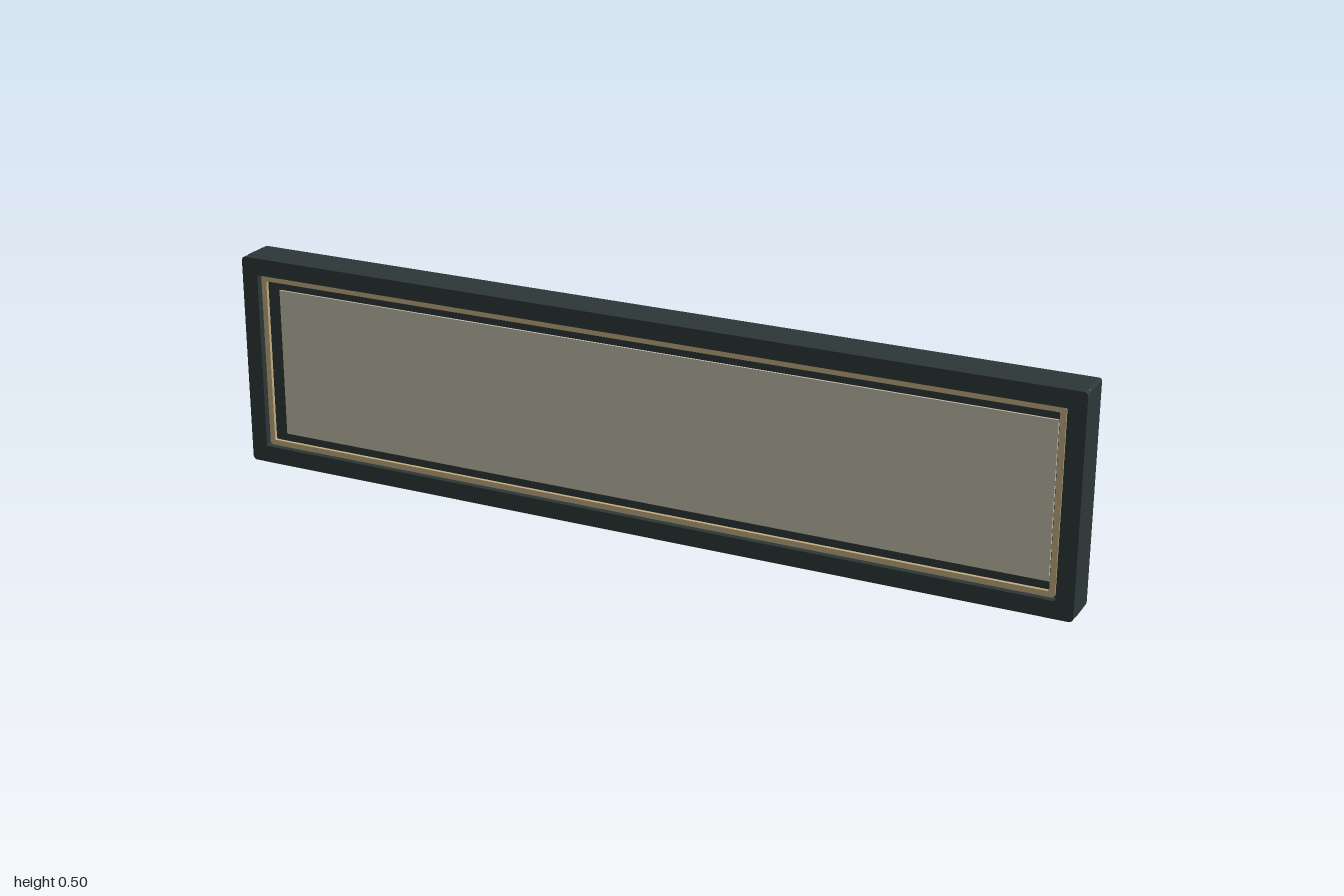
import * as THREE from 'three';
import { RoundedBoxGeometry } from 'three/addons/geometries/RoundedBoxGeometry.js';

// Traces a rounded rectangle centred on (cx, cy)
function roundedRect(path, w, h, r, cx = 0, cy = 0) {
  const x = w / 2 - r, y = h / 2 - r;
  path.absarc(cx + x, cy + y, r, 0, Math.PI / 2);
  path.absarc(cx - x, cy + y, r, Math.PI / 2, Math.PI);
  path.absarc(cx - x, cy - y, r, Math.PI, Math.PI * 1.5);
  path.absarc(cx + x, cy - y, r, Math.PI * 1.5, Math.PI * 2);
  path.closePath();
  return path;
}

function extrude(shape, depth) {
  return new THREE.ExtrudeGeometry(shape, { depth, bevelEnabled: false, curveSegments: 6 });
}

function ring(w, h, r, border, depth) {
  const shape = roundedRect(new THREE.Shape(), w, h, r);
  shape.holes.push(roundedRect(new THREE.Path(), w - 2 * border, h - 2 * border, 0.004));
  return extrude(shape, depth);
}

export function createModel() {
  const dark = new THREE.MeshStandardMaterial({ name: 'dark housing', color: 0x2d3737 });
  const gold = new THREE.MeshStandardMaterial({ name: 'tan seal', color: 0xc2ab80 });
  const pale = new THREE.MeshStandardMaterial({ name: 'pale grey', color: 0xc0bbaa });

  const model = new THREE.Group();
  model.name = 'wallPanel';
  function add(name, geometry, material, x, y, z, parent = model) {
    const mesh = new THREE.Mesh(geometry, material);
    mesh.name = name;
    mesh.position.set(x, y, z);
    parent.add(mesh);
    return mesh;
  }

  // Housing with softened edges, and the raised frame in front of it
  add('housing', new RoundedBoxGeometry(2, 0.5, 0.08, 3, 0.007), dark, 0, 0.25, 0.002);
  add('frontFrame', ring(2, 0.5, 0.01, 0.04, 0.019), dark, 0, 0.25, 0.041);

  // Seal running inside the frame
  add('seal', ring(1.912, 0.416, 0.008, 0.013, 0.009), gold, 0, 0.25, 0.041);

  // Display plate, set slightly off centre
  add('displayPlate', new THREE.BoxGeometry(1.85, 0.352, 0.006), pale, 0.015, 0.251, 0.044);

  // Two L-shaped mounting rails on the back, mirrored about mid height
  for (const side of [1, -1]) {
    const rail = new THREE.Group();
    rail.name = side > 0 ? 'upperRail' : 'lowerRail';
    const plate = roundedRect(new THREE.Shape(), 1.58, 0.057, 0.0005);
    for (const sx of [-0.62, 0.62]) {
      plate.holes.push(roundedRect(new THREE.Path(), 0.066, 0.015, 0.0074, sx, 0));
    }
    add('slottedPlate', extrude(plate, 0.01), pale, 0, 0.25 + side * 0.1265, -0.06, rail);
    add('railWeb', new THREE.BoxGeometry(1.58, 0.016, 0.013), pale, 0, 0.25 + side * 0.106, -0.0435, rail);
    model.add(rail);
  }
  return model;
}
